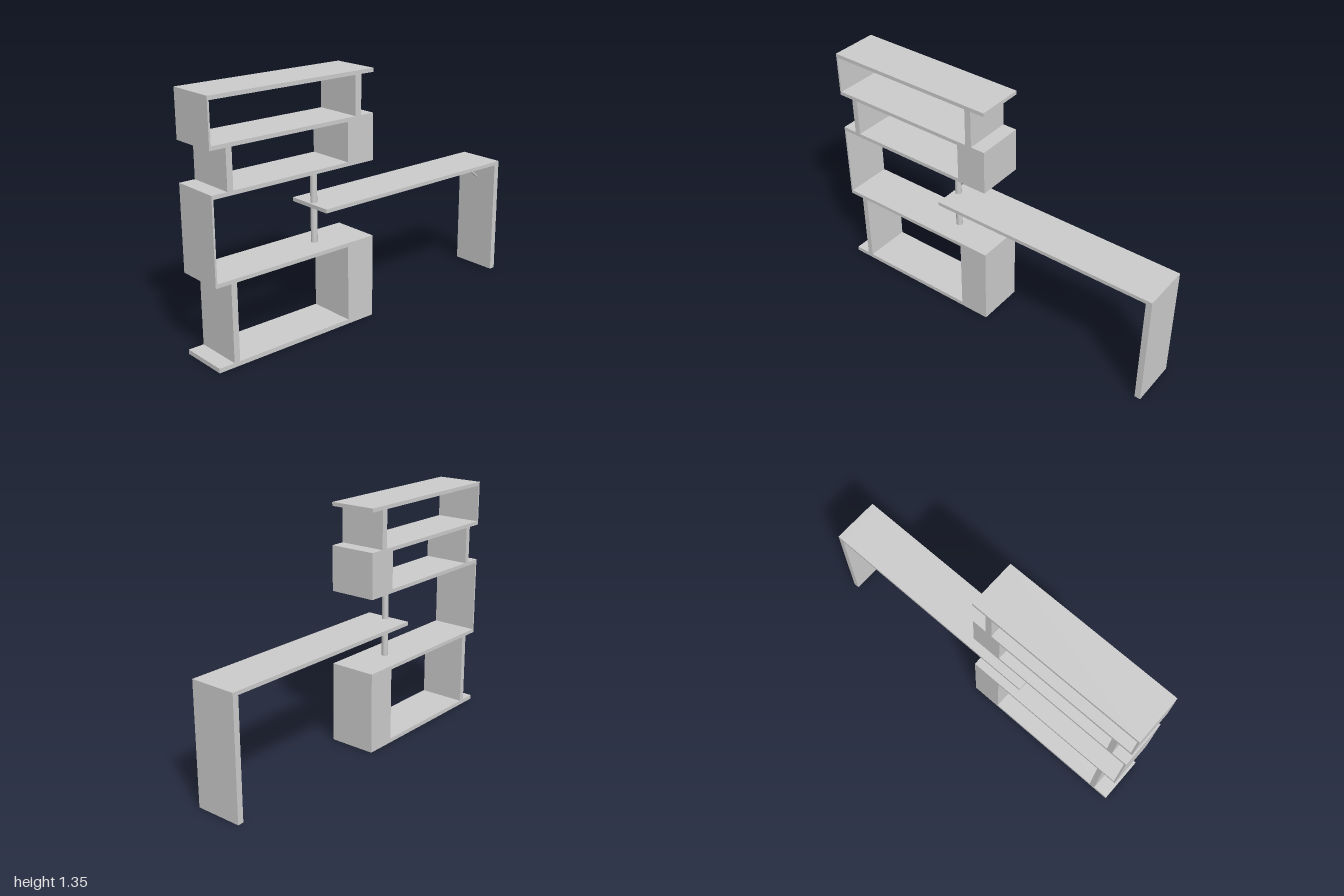
import * as THREE from 'three';

const WIDTH = 0.27;
const material = new THREE.MeshStandardMaterial({ color: 0xcccccc });

export function createModel() {
  const model = new THREE.Group();

  // Full-width slab given by its extent in y and z
  const slab = (name, y0, y1, z0, z1) => {
    const mesh = new THREE.Mesh(new THREE.BoxGeometry(WIDTH, y1 - y0, z1 - z0), material);
    mesh.position.set(0, (y0 + y1) / 2, (z0 + z1) / 2);
    mesh.name = name;
    model.add(mesh);
  };

  // Round bar between two points
  const bar = (name, a, b, radius, sides) => {
    const dir = b.clone().sub(a);
    const mesh = new THREE.Mesh(new THREE.CylinderGeometry(radius, radius, dir.length(), sides), material);
    mesh.position.copy(a).add(b).multiplyScalar(0.5);
    mesh.quaternion.setFromUnitVectors(new THREE.Vector3(0, 1, 0), dir.normalize());
    mesh.name = name;
    model.add(mesh);
  };

  // Five horizontal shelves, bottom to top
  const back = 0.008;
  const shelves = [[0, 0.024], [0.437, 0.458], [0.872, 0.893], [1.102, 1.123], [1.332, 1.353]];
  shelves.forEach(([y0, y1], i) => slab(`shelf${i + 1}`, y0, y1, back, i === 2 || i === 4 || i === 1 || i === 3 ? 0.99 : 1));

  // Tiers 1 and 3: solid rear block and inset front upright
  for (const i of [0, 2]) {
    const y0 = shelves[i][1], y1 = shelves[i + 1][0];
    slab('rearBlock', y0, y1, back, 0.18);
    slab('frontUpright', y0, y1, 0.88, 0.913);
  }

  // Tiers 2 and 4: thin front panel covering the shelf ends
  for (const i of [1, 3]) slab('frontPanel', shelves[i][0], shelves[i + 1][1], 0.99, 1);

  // Rear upright under the top shelf
  slab('rearUpright', shelves[3][1], shelves[4][0], 0.09, 0.127);

  // Pole carrying the desk
  bar('pole', new THREE.Vector3(0, 0.458, 0.295), new THREE.Vector3(0, 0.872, 0.295), 0.018, 32);

  // Desk top, end leg and the small diagonal brace
  slab('deskTop', 0.653, 0.674, -0.966, 0.325);
  slab('deskLeg', 0, 0.674, -1, -0.966);
  bar('deskBrace', new THREE.Vector3(0, 0.655, -0.842), new THREE.Vector3(0, 0.555, -0.968), 0.006, 12);

  return model;
}
